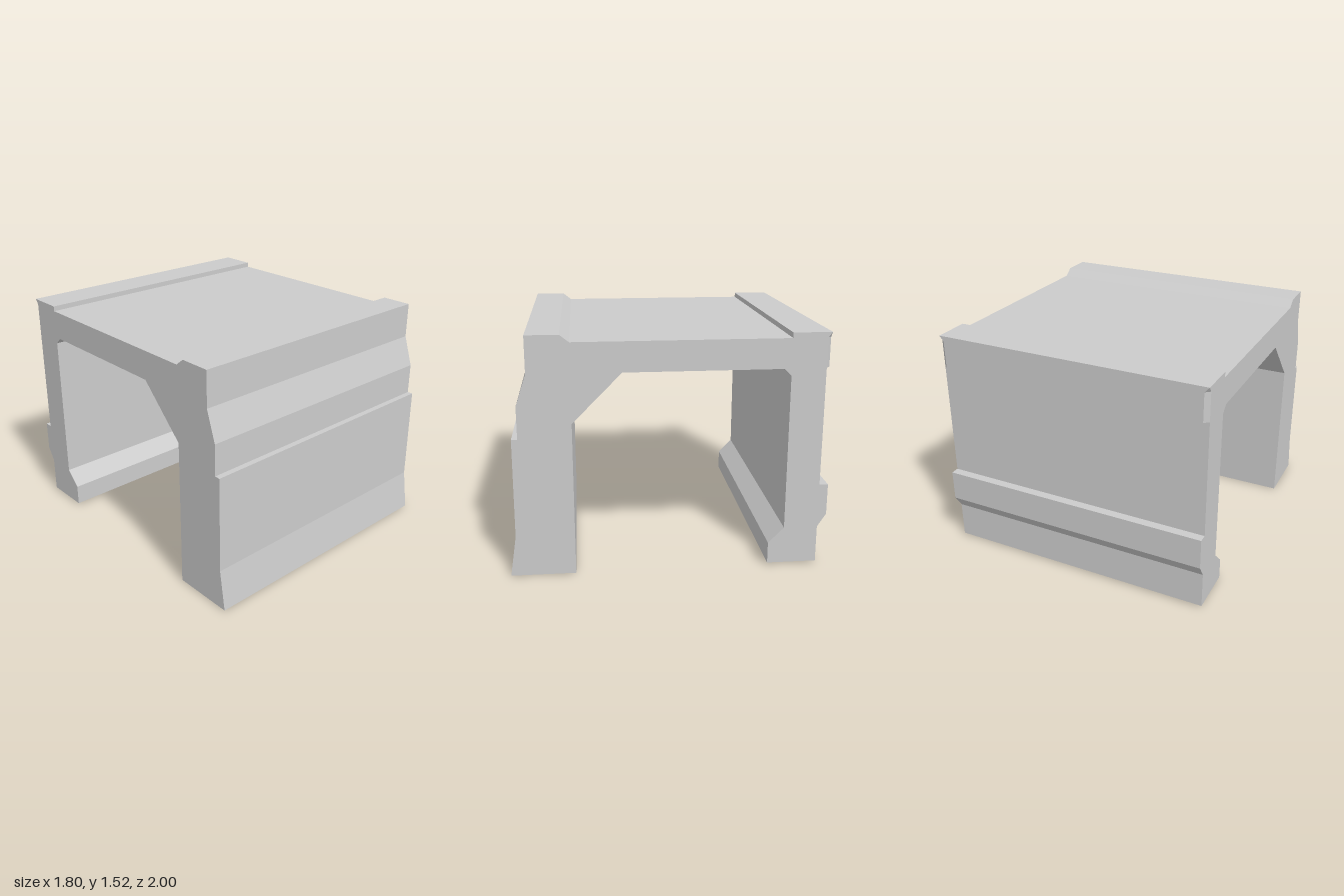
import * as THREE from 'three';
import { ConvexGeometry } from 'three/addons/geometries/ConvexGeometry.js';

const HALF = 0.9; // half of the width along x

export function createModel() {
  const model = new THREE.Group();
  const material = new THREE.MeshStandardMaterial({ color: 0xcccccc, flatShading: true });
  const add = (name, geometry) => {
    const mesh = new THREE.Mesh(geometry, material);
    mesh.name = name;
    model.add(mesh);
  };

  // Constant section as (z, y) points, swept along x
  const section = [
    // front wall, outside
    [1, 0], [0.96, 0.265], [0.957, 0.893], [0.92, 0.893], [0.92, 1.095], [0.855, 1.29], [0.855, 1.52],
    // roof and its two raised edges
    [0.652, 1.52], [0.595, 1.475], [-0.73, 1.475], [-0.73, 1.508], [-0.945, 1.508],
    // back wall, outside, with the projecting ledge
    [-0.945, 0.535], [-1, 0.535], [-1, 0.335], [-0.945, 0.25], [-0.945, 0.01],
    // inside, with the foot, the ceiling and the slanted haunch
    [-0.63, 0.01], [-0.63, 0.15], [-0.73, 0.25], [-0.73, 1.245], [-0.685, 1.288],
    [0.29, 1.288], [0.595, 0.98], [0.595, 0],
  ];
  const shape = new THREE.Shape(section.map(([z, y]) => new THREE.Vector2(z, y)));
  const body = new THREE.ExtrudeGeometry(shape, { depth: 2 * HALF, bevelEnabled: false });
  body.translate(0, 0, -HALF).rotateY(-Math.PI / 2);
  add('archBody', body);

  // Lip along the top of the back wall
  const inner = -0.945, outer = -0.97, bottom = 1.29, neck = 1.475, top = 1.508;
  const inset = HALF - 0.03;
  const lip = new THREE.BoxGeometry(2 * inset, top - bottom, inner - outer);
  lip.translate(0, (top + bottom) / 2, (inner + outer) / 2);
  add('backLip', lip);

  // Each end of the lip is chamfered and flares to a square corner at the top
  for (const side of [1, -1]) {
    const triangle = (y) => [[inset, y, inner], [inset, y, outer], [HALF, y, inner]];
    const hull = (points) =>
      new ConvexGeometry(points.map(([x, y, z]) => new THREE.Vector3(side * x, y, z)));
    const end = side > 0 ? 'left' : 'right';
    add(end + 'LipChamfer', hull([...triangle(bottom), ...triangle(neck)]));
    add(end + 'LipCorner', hull([...triangle(neck), ...triangle(top), [HALF, top, outer]]));
  }

  return model;
}
